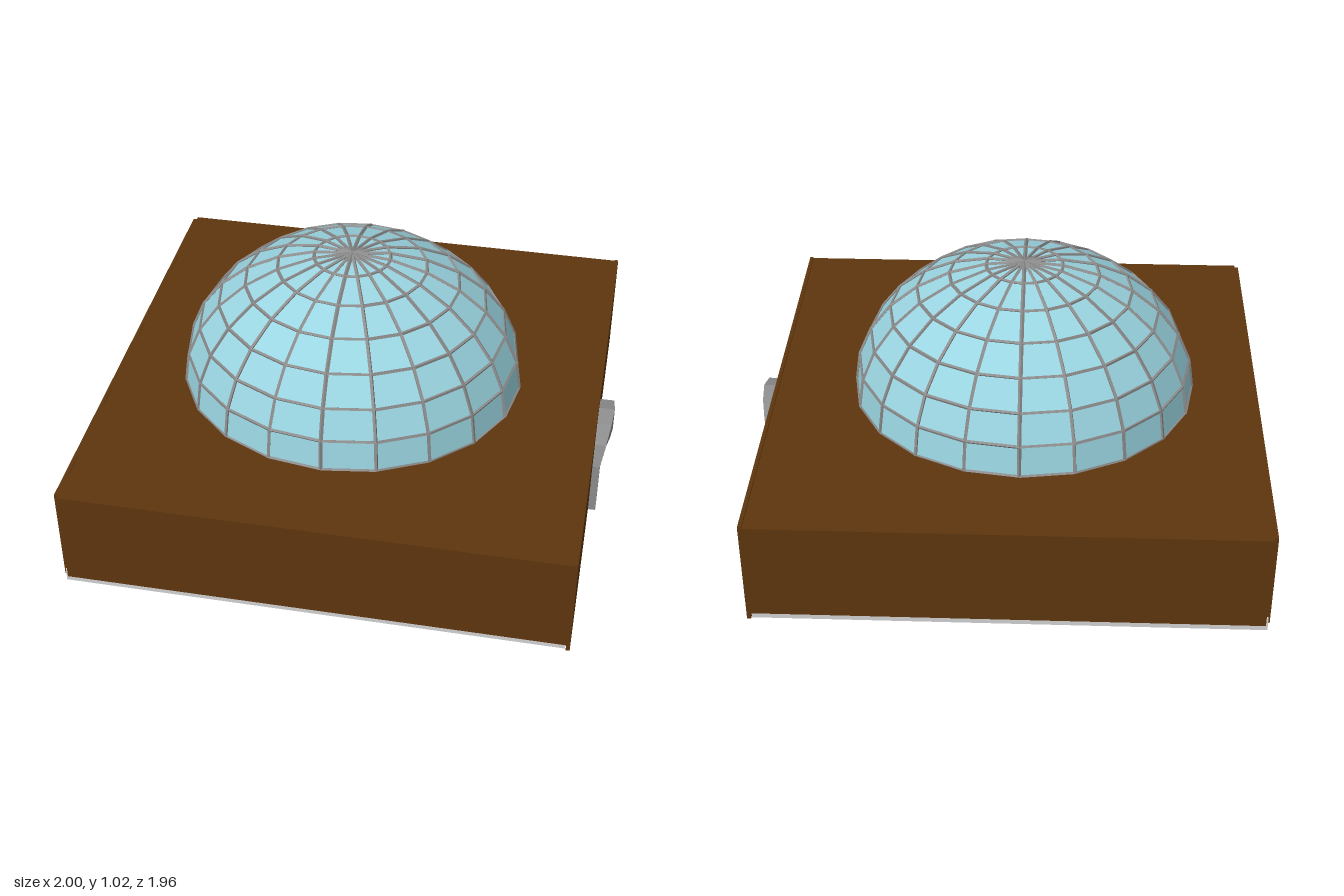
import * as THREE from 'three';
import { mergeGeometries } from 'three/addons/utils/BufferGeometryUtils.js';

const brown = new THREE.MeshStandardMaterial({ name: 'brown wall', color: 0x5e360e });
const glass = new THREE.MeshStandardMaterial({ name: 'pale blue glass', color: 0x9ad5e1, flatShading: true });
const stone = new THREE.MeshStandardMaterial({ name: 'grey stone', color: 0x8c8c8c, flatShading: true });
const pale = new THREE.MeshStandardMaterial({ name: 'pale floor', color: 0xd2d2d2 });

const SEGMENTS = 20, RINGS = 7;
const DOME = { x: -0.063, y: 0.45, z: 0, rx: 0.675, ry: 0.56, rz: 0.635 };

// Box given by its lower and upper corners
function block(name, material, lo, hi) {
  const size = hi.map((v, i) => v - lo[i]);
  const mesh = new THREE.Mesh(new THREE.BoxGeometry(...size), material);
  mesh.position.set(...hi.map((v, i) => (v + lo[i]) / 2));
  mesh.name = name;
  return mesh;
}

// Square bar between two points
function bar(a, b, radius) {
  const dir = b.clone().sub(a);
  const g = new THREE.CylinderGeometry(radius, radius, dir.length(), 4, 1);
  g.applyQuaternion(new THREE.Quaternion().setFromUnitVectors(new THREE.Vector3(0, 1, 0), dir.normalize()));
  const mid = a.clone().add(b).multiplyScalar(0.5);
  return g.translate(mid.x, mid.y, mid.z);
}

// Point on the dome lattice
function domePoint(ring, segment) {
  const t = (ring / RINGS) * Math.PI / 2, p = (segment / SEGMENTS) * Math.PI * 2;
  return new THREE.Vector3(
    DOME.rx * Math.sin(t) * Math.cos(p), DOME.ry * Math.cos(t), DOME.rz * Math.sin(t) * Math.sin(p));
}

function makeDome() {
  const dome = new THREE.Group();
  dome.name = 'dome';
  dome.position.set(DOME.x, DOME.y, DOME.z);
  const panes = new THREE.SphereGeometry(1, SEGMENTS, RINGS, 0, Math.PI * 2, 0, Math.PI / 2);
  panes.scale(DOME.rx, DOME.ry, DOME.rz);
  const paneMesh = new THREE.Mesh(panes, glass);
  paneMesh.name = 'glassPanes';
  // Ribs and rings of the glazing frame
  const bars = [];
  for (let r = 1; r <= RINGS; r++) {
    for (let s = 0; s < SEGMENTS; s++) {
      bars.push(bar(domePoint(r - 1, s), domePoint(r, s), 0.008));
      bars.push(bar(domePoint(r, s), domePoint(r, s + 1), 0.007));
    }
  }
  const frame = new THREE.Mesh(mergeGeometries(bars), stone);
  frame.name = 'glazingBars';
  dome.add(paneMesh, frame);
  return dome;
}

// Half arch: [outer z, outer y, inner z, inner y, front x]
const HALF_ARCH = [
  [0.174, 0.015, 0.10, 0.015, 0.967],
  [0.174, 0.24, 0.10, 0.235, 0.967],
  [0.145, 0.33, 0.088, 0.28, 0.982],
  [0.08, 0.385, 0.05, 0.30, 0.994],
  [0, 0.403, 0, 0.305, 1.0],
];
const ARCH = [...HALF_ARCH,
  ...HALF_ARCH.slice(0, -1).reverse().map(([a, b, c, d, e]) => [-a, b, -c, d, e])];
const ARCH_Z = 0.01;

function makeArch() {
  const back = 0.905, positions = [];
  const quad = (a, b, c, d) => [a, b, c, a, c, d].forEach((p) => positions.push(...p));
  const sections = ARCH.map(([oz, oy, iz, iy, front]) => [
    [back, oy, oz], [front, oy, oz], [front, iy, iz], [back, iy, iz]]);
  for (let i = 0; i < sections.length - 1; i++) {
    const s = sections[i], n = sections[i + 1];
    for (let k = 0; k < 4; k++) {
      const j = (k + 1) % 4;
      quad(s[k], s[j], n[j], n[k]);
    }
  }
  const first = sections[0], last = sections[sections.length - 1];
  quad(first[0], first[3], first[2], first[1]);
  quad(...last);
  const g = new THREE.BufferGeometry();
  g.setAttribute('position', new THREE.Float32BufferAttribute(positions, 3));
  g.computeVertexNormals();
  const mesh = new THREE.Mesh(g, stone);
  mesh.name = 'entranceArch';
  mesh.position.z = ARCH_Z;
  return mesh;
}

// Entrance wall with an arched doorway
function makeEntranceWall() {
  const shape = new THREE.Shape([[-0.975, 0.022], [0.98, 0.022], [0.98, 0.455], [-0.975, 0.455]]
    .map(([x, y]) => new THREE.Vector2(x, y)));
  shape.holes.push(new THREE.Path(ARCH.map(([, , z, y]) =>
    new THREE.Vector2(-z - ARCH_Z, Math.max(y, 0.04)))));
  const g = new THREE.ExtrudeGeometry(shape, { depth: 0.015, bevelEnabled: false });
  g.rotateY(Math.PI / 2).translate(0.923, 0, 0);
  const mesh = new THREE.Mesh(g, brown);
  mesh.name = 'entranceWall';
  return mesh;
}

export function createModel() {
  const model = new THREE.Group();
  model.name = 'domedBuilding';
  model.add(
    block('floorSlab', pale, [-0.993, 0.025, -0.976], [0.92, 0.08, 0.97]),
    block('frontWall', brown, [-0.985, 0.05, 0.96], [0.93, 0.45, 0.977]),
    block('backWall', brown, [-0.985, 0.05, -0.982], [0.93, 0.45, -0.965]),
    block('leftSideWall', brown, [-1, 0.05, -0.965], [-0.984, 0.45, 0.962]),
    block('roof', brown, [-0.985, 0.435, -0.966], [0.924, 0.4495, 0.961]),
    block('undersideBeam', brown, [0.448, 0, -0.59], [0.462, 0.03, 0.605]),
    makeEntranceWall(),
    makeArch(),
    makeDome(),
  );
  return model;
}
